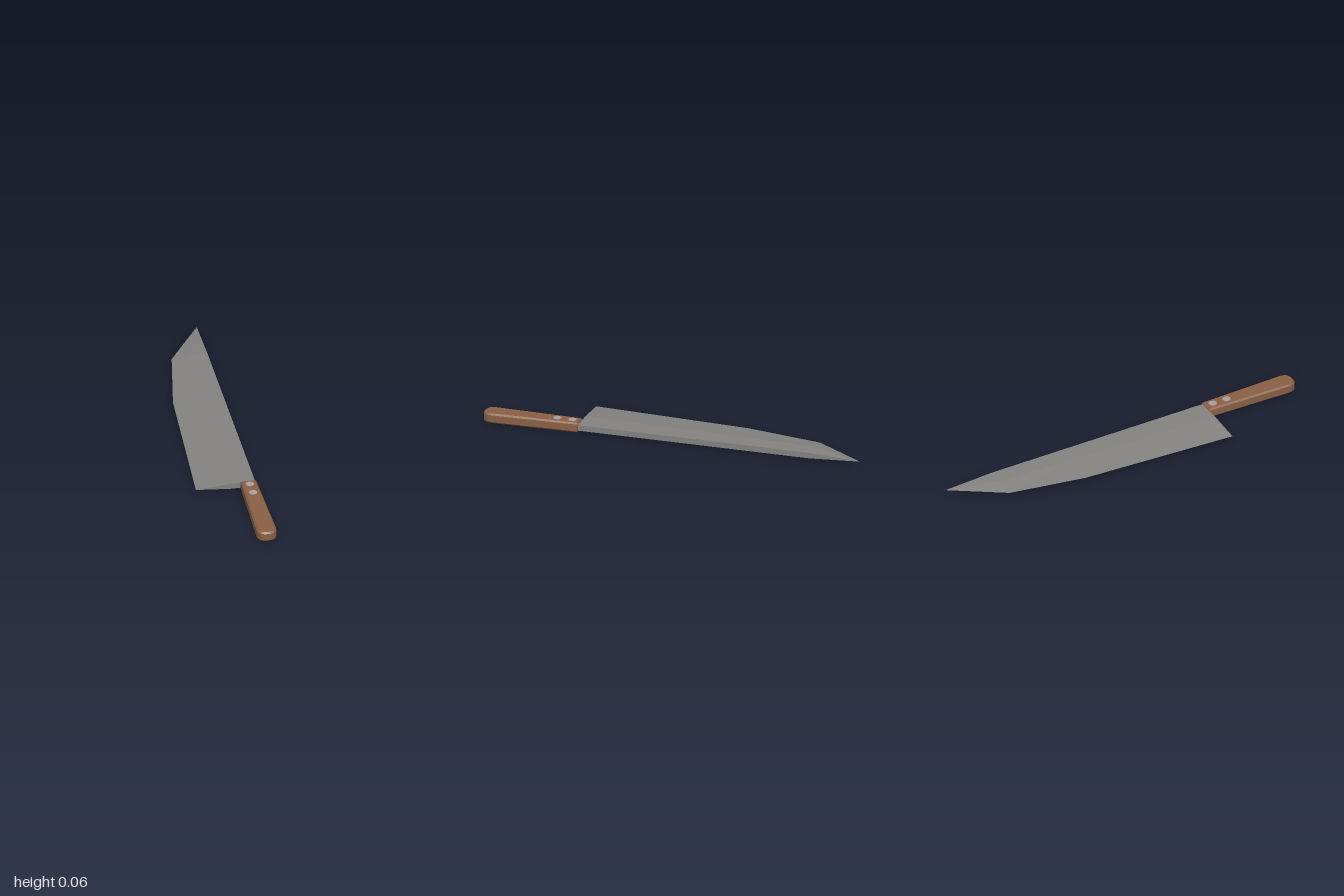
import * as THREE from 'three';

const steel = new THREE.MeshStandardMaterial({ color: 0x858381 });
steel.name = 'blade steel';
const wood = new THREE.MeshStandardMaterial({ color: 0x8a6045 });
wood.name = 'handle wood';
const rivetMetal = new THREE.MeshStandardMaterial({ color: 0xa89fa0 });
rivetMetal.name = 'rivet metal';

const MID = 0.0285; // height of the knife's centre plane
const SPINE = 0.145;

// Blade: wedge sections running from heel to tip
function bladeGeometry() {
  // z, cutting edge x, bevel start x, half thickness
  const stations = [
    [0.495, -0.16, 0.015, 0.015],
    [-0.33, -0.112, 0.04, 0.015],
    [-0.73, -0.038, 0.06, 0.015],
    [-1, SPINE, SPINE, 0],
  ];
  const positions = [];
  const index = [];
  stations.forEach(([z, edge, bevel, h], i) => {
    positions.push(SPINE, MID + h, z, bevel, MID + h, z, edge, MID, z, bevel, MID - h, z, SPINE, MID - h, z);
    if (i === stations.length - 1) return;
    for (let k = 0; k < 5; k++) {
      const a = i * 5 + k;
      const b = i * 5 + ((k + 1) % 5);
      index.push(a, a + 5, b + 5, a, b + 5, b);
    }
  });
  index.push(0, 1, 2, 0, 2, 3, 0, 3, 4); // heel face
  const geometry = new THREE.BufferGeometry();
  geometry.setAttribute('position', new THREE.Float32BufferAttribute(positions, 3));
  geometry.setIndex(index);
  const flat = geometry.toNonIndexed();
  flat.computeVertexNormals();
  return flat;
}

// Handle: flared outline with a rounded butt and chamfered rims
function handleGeometry() {
  const c = 0.008;
  const s = new THREE.Shape();
  s.moveTo(0.078, 0.503);
  s.lineTo(0.142, 0.503);
  s.lineTo(0.153, 0.95);
  s.quadraticCurveTo(0.152, 0.985, 0.128, 0.99);
  s.quadraticCurveTo(0.11, 0.994, 0.092, 0.99);
  s.quadraticCurveTo(0.068, 0.985, 0.067, 0.95);
  s.closePath();
  const geometry = new THREE.ExtrudeGeometry(s, {
    depth: 0.053 - 2 * c, bevelThickness: c, bevelSize: c, bevelSegments: 1, curveSegments: 4,
  });
  geometry.rotateX(Math.PI / 2);
  geometry.translate(0, 0.055 - c, 0);
  return geometry;
}

export function createModel() {
  const knife = new THREE.Group();
  knife.name = 'knife';
  const add = (name, geometry, material) => {
    const mesh = new THREE.Mesh(geometry, material);
    mesh.name = name;
    knife.add(mesh);
    return mesh;
  };

  add('blade', bladeGeometry(), steel);
  add('handle', handleGeometry(), wood);

  // Rivets pass through the handle and show on both faces
  [0.535, 0.615].forEach((z, i) => {
    const rivet = add(`rivet${i + 1}`, new THREE.CylinderGeometry(0.022, 0.022, 0.057, 8), rivetMetal);
    rivet.position.set(0.11, MID, z);
  });

  return knife;
}
